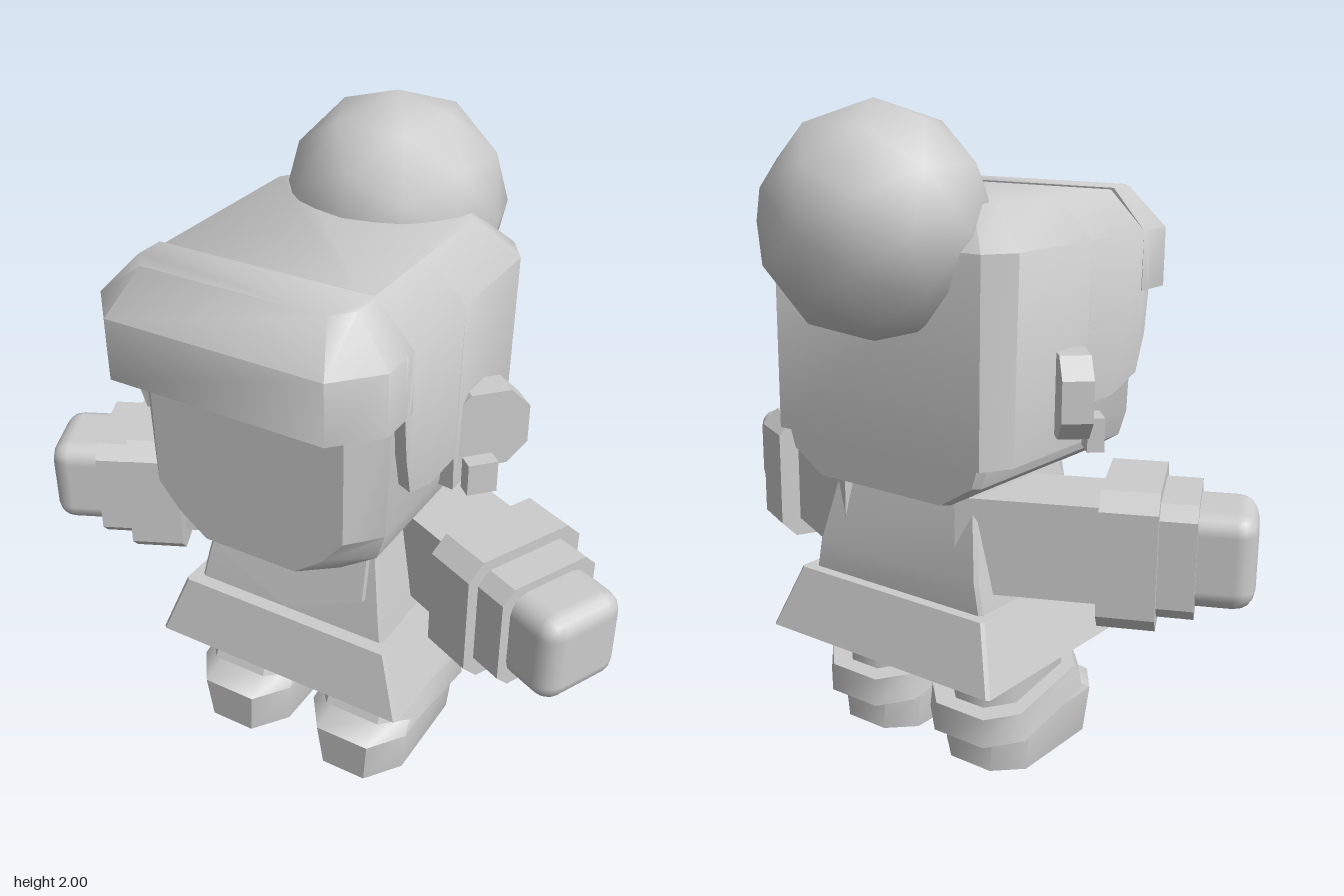
import * as THREE from 'three';
import { toCreasedNormals } from 'three/addons/utils/BufferGeometryUtils.js';
import { RoundedBoxGeometry } from 'three/addons/geometries/RoundedBoxGeometry.js';

const grey = new THREE.MeshStandardMaterial({ color: 0xcccccc });
grey.name = 'plain grey';

// Skin between rings of [x, y, z], listed bottom to top, counter-clockwise from above
function loft(rings, crease = 0.85) {
  const n = rings[0].length, pos = [];
  const tri = (a, b, c) => pos.push(...a, ...b, ...c);
  for (let i = 0; i < rings.length - 1; i++) {
    for (let j = 0; j < n; j++) {
      const k = (j + 1) % n;
      tri(rings[i][j], rings[i][k], rings[i + 1][k]);
      tri(rings[i][j], rings[i + 1][k], rings[i + 1][j]);
    }
  }
  const top = rings[rings.length - 1], bottom = rings[0];
  for (let j = 1; j < n - 1; j++) {
    tri(top[0], top[j], top[j + 1]);
    tri(bottom[0], bottom[j + 1], bottom[j]);
  }
  const geometry = new THREE.BufferGeometry();
  geometry.setAttribute('position', new THREE.Float32BufferAttribute(pos, 3));
  return toCreasedNormals(geometry, crease);
}

// Ring from its +x half (front to back), mirrored to -x
const mirrorRing = (half) => [...half, ...[...half].reverse().map(([x, y, z]) => [-x, y, z])];

// Rectangle with cut corners; tilt raises y along z
function cutRing(y, hx, back, front, cx, cz = cx, tilt = 0, backCut = cx) {
  const at = (x, z) => [x, y + tilt * (z - back), z];
  return mirrorRing([
    at(hx - cx, front), at(hx, front - cz), at(hx, back + backCut), at(hx - backCut, back),
  ]);
}

function add(parent, name, geometry, x = 0, y = 0, z = 0) {
  const mesh = new THREE.Mesh(geometry, grey);
  mesh.name = name;
  mesh.position.set(x, y, z);
  parent.add(mesh);
  return mesh;
}

// Block along +x with cut edges
function cuff(length, size, cut) {
  const s = size / 2;
  const shape = new THREE.Shape([
    [s, s - cut], [s - cut, s], [cut - s, s], [-s, s - cut],
    [-s, cut - s], [cut - s, -s], [s - cut, -s], [s, cut - s],
  ].map((p) => new THREE.Vector2(...p)));
  return new THREE.ExtrudeGeometry(shape, { depth: length, bevelEnabled: false }).rotateY(Math.PI / 2);
}

function buildHead(model) {
  const head = new THREE.Group();
  head.name = 'head';
  model.add(head);

  add(head, 'face', loft([
    cutRing(0.89, 0.25, -0.31, 0.52, 0.1, 0.08, 0, 0.02),
    cutRing(0.96, 0.36, -0.31, 0.52, 0.12, 0.09, 0, 0.02),
    cutRing(1.04, 0.385, -0.31, 0.52, 0.08, 0.09, 0, 0.02),
    cutRing(1.5, 0.4, -0.31, 0.52, 0.09, 0.09, 0, 0.02),
  ], 0.5));

  // Hair shell: [x, z, lower edge]
  const edge = [
    [0.44, 0.44, 1.43], [0.44, 0.425, 1.3], [0.435, 0.39, 1.18], [0.43, 0.26, 1.13],
    [0.43, 0.115, 1.13], [0.43, 0.11, 1.02], [0.43, -0.24, 1.02], [0.38, -0.33, 1.02],
  ];
  add(head, 'hair', loft([
    mirrorRing(edge.map(([x, z, y]) => [x * 0.8, y, z * 0.9])),
    mirrorRing(edge.map(([x, z, y]) => [x, y, z])),
    mirrorRing(edge.map(([x, z], i) => [i === 7 ? 0.38 : 0.44, 1.61, z])),
    mirrorRing(edge.map(([, z], i) => [i === 7 ? 0.28 : 0.32, 1.725, Math.max(z, i === 7 ? -0.23 : -0.17)])),
  ]));

  add(head, 'fringe', loft([
    mirrorRing([[0.33, 1.43, 0.65], [0.44, 1.43, 0.53], [0.44, 1.43, 0.4]]),
    mirrorRing([[0.33, 1.61, 0.65], [0.44, 1.61, 0.53], [0.44, 1.61, 0.4]]),
    mirrorRing([[0.28, 1.73, 0.55], [0.33, 1.73, 0.49], [0.33, 1.73, 0.4]]),
  ]));

  add(head, 'hairBun', new THREE.IcosahedronGeometry(0.335, 1), 0, 1.665, -0.31);
}

function buildBody(model) {
  const torso = loft([
    cutRing(0.54, 0.33, -0.245, 0.33, 0.01),
    cutRing(0.65, 0.31, -0.245, 0.31, 0.01),
    cutRing(0.9, 0.26, -0.19, 0.25, 0.01),
  ], 0.5);
  add(model, 'torso', torso);

  // Pointed collar lying on the chest
  const collar = new THREE.Shape([
    [-0.25, 0.32], [-0.255, 0.11], [0, 0], [0.255, 0.11], [0.25, 0.32],
  ].map((p) => new THREE.Vector2(...p)));
  add(model, 'collar', new THREE.ExtrudeGeometry(collar, { depth: 0.03, bevelEnabled: false }), 0, 0.57, 0.32)
    .rotation.x = -0.23;

  add(model, 'skirt', loft([
    cutRing(0.36, 0.43, -0.345, 0.42, 0.01),
    cutRing(0.555, 0.36, -0.28, 0.37, 0.01),
  ], 0.5));
}

function buildSide(model, side) {
  const prefix = side > 0 ? 'left' : 'right';

  // Arm: built along +x, then swung forward
  const arm = new THREE.Group();
  arm.name = prefix + 'Arm';
  const swing = -0.44;
  arm.position.set(side * 0.535, 0.745, 0.08);
  arm.rotation.y = side > 0 ? swing : Math.PI - swing;
  add(arm, 'sleeve', new THREE.BoxGeometry(0.44, 0.29, 0.28), -0.2);
  add(arm, 'wideCuff', cuff(0.165, 0.41, 0.05));
  add(arm, 'narrowCuff', cuff(0.11, 0.34, 0.04), 0.16);
  add(arm, 'hand', new RoundedBoxGeometry(0.26, 0.285, 0.28, 2, 0.06), 0.305);
  model.add(arm);

  // Ear: cut-corner plate facing forward and outward, with an earring
  const ear = new THREE.Group();
  ear.name = prefix + 'Ear';
  ear.position.set(side * 0.46, 1.195, -0.01);
  ear.rotation.y = side * 0.82;
  add(ear, 'earPlate', cuff(0.09, 0.24, 0.06).rotateY(-Math.PI / 2), 0, 0, -0.045);
  add(ear, 'earring', new THREE.BoxGeometry(0.09, 0.1, 0.05), side * -0.035, -0.125, 0.075);
  model.add(ear);

  // Leg, ankle band and boot
  const leg = new THREE.Group();
  leg.name = prefix + 'Leg';
  leg.position.x = side * 0.215;
  add(leg, 'shin', loft([
    cutRing(0.12, 0.12, -0.15, 0.23, 0.07),
    cutRing(0.38, 0.13, -0.15, 0.23, 0.07),
  ]));
  add(leg, 'ankleBand', loft([
    cutRing(0.11, 0.183, -0.205, 0.31, 0.09, 0.11, 0.176),
    cutRing(0.2, 0.17, -0.2, 0.27, 0.08, 0.1, 0.176),
  ]));
  add(leg, 'boot', loft([
    cutRing(0, 0.155, -0.145, 0.365, 0.08, 0.11),
    cutRing(0.15, 0.17, -0.15, 0.375, 0.08, 0.11),
    cutRing(0.2, 0.155, -0.14, 0.3, 0.08, 0.1),
  ]));
  model.add(leg);
}

export function createModel() {
  const model = new THREE.Group();
  model.name = 'figure';
  buildHead(model);
  buildBody(model);
  for (const side of [1, -1]) buildSide(model, side);
  return model;
}
